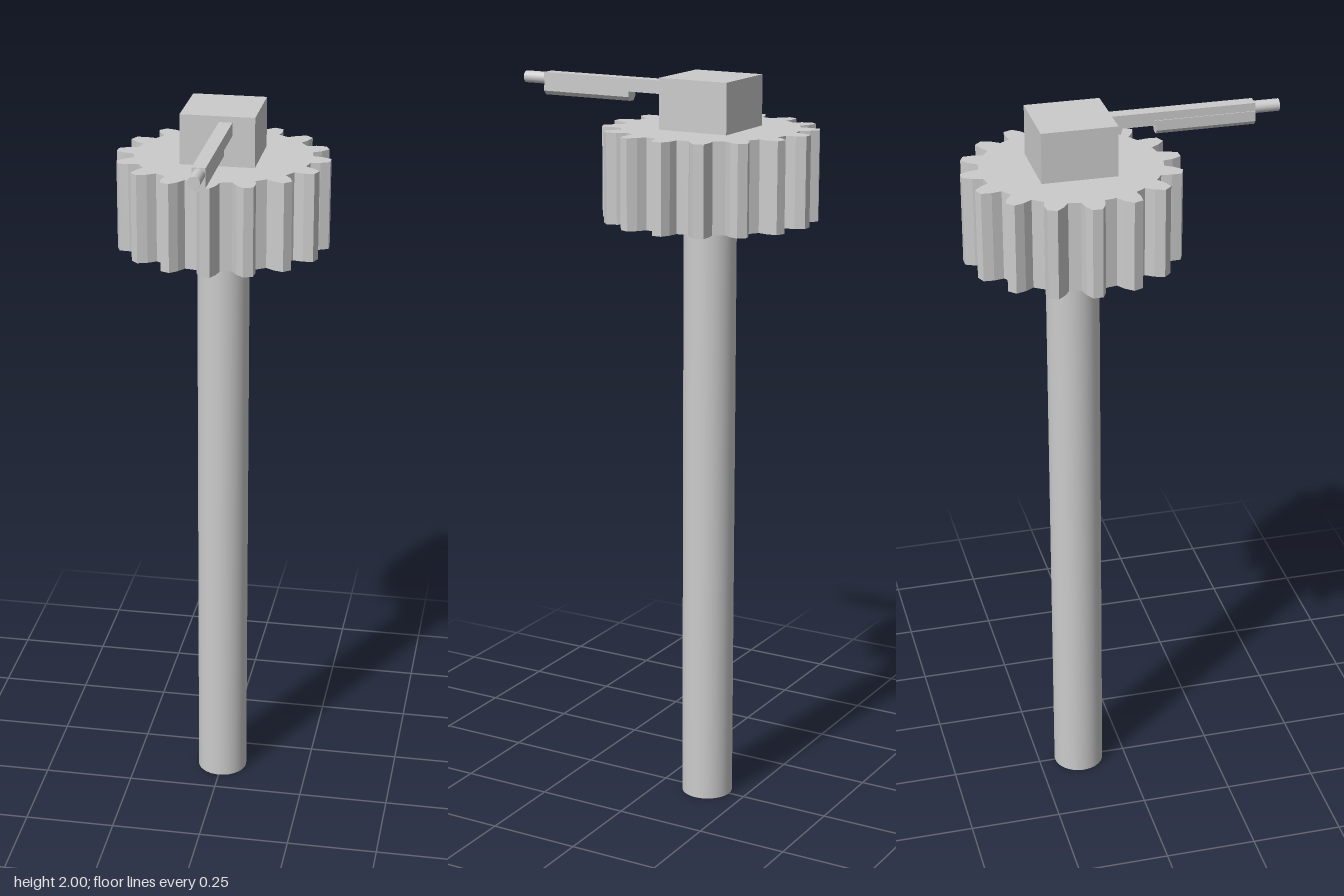
import * as THREE from 'three';

const AXIS_Z = -0.134;
const material = new THREE.MeshStandardMaterial({ color: 0xcccccc });

function add(parent, name, geometry, x = 0, y = 0, z = 0) {
  const mesh = new THREE.Mesh(geometry, material);
  mesh.name = name;
  mesh.position.set(x, y, z);
  parent.add(mesh);
  return mesh;
}

const box = (w, h, d) => new THREE.BoxGeometry(w, h, d);

// Outline of a spur gear: each tooth is a tapered profile of [radius, half width]
function gearShape(teeth) {
  const half = [[0.233, 0.03], [0.259, 0.025], [0.283, 0.013]];
  const profile = [
    ...half.map(([r, w]) => [r, -w]),
    ...half.slice().reverse().map(([r, w]) => [r, w]),
  ];
  const points = [];
  for (let i = 0; i < teeth; i++) {
    const a = (i / teeth) * Math.PI * 2;
    for (const [r, w] of profile) {
      points.push(new THREE.Vector2(r, w).rotateAround(new THREE.Vector2(), a));
    }
  }
  return new THREE.Shape(points);
}

// Hollow round shaft, with separate faces so that the rims stay sharp
function buildShaft() {
  const shaft = new THREE.Group();
  shaft.name = 'shaft';
  const outer = 0.07, bore = 0.029, height = 1.63;
  const rings = [
    ['shaftWall', [outer, 0], [outer, height]],
    ['shaftBore', [bore, height], [bore, 0]],
    ['shaftEnd', [bore, 0], [outer, 0]],
  ];
  for (const [name, a, b] of rings) {
    const points = [new THREE.Vector2(...a), new THREE.Vector2(...b)];
    add(shaft, name, new THREE.LatheGeometry(points, 40));
  }
  shaft.position.z = AXIS_Z;
  return shaft;
}

// Slim side arm with a round tip, a chamfered keel and a small peg
function buildArm() {
  const arm = new THREE.Group();
  arm.name = 'arm';
  add(arm, 'armBar', box(0.035, 0.035, 0.386), 0, 0, 0.158);

  const tip = add(arm, 'armTip', new THREE.CylinderGeometry(0.016, 0.016, 0.067, 20), 0, 0, 0.3835);
  tip.rotation.x = Math.PI / 2;

  const keel = new THREE.Shape([
    [-0.0175, -0.017], [-0.0175, -0.032], [-0.008, -0.043],
    [0.008, -0.043], [0.0175, -0.032], [0.0175, -0.017],
  ].map(([x, y]) => new THREE.Vector2(x, y)));
  add(arm, 'armKeel', new THREE.ExtrudeGeometry(keel, { depth: 0.262, bevelEnabled: false }), 0, 0, 0.09);

  add(arm, 'sideStrip', box(0.003, 0.012, 0.265), -0.0185, -0.01, 0.217);
  const peg = add(arm, 'peg', box(0.005, 0.026, 0.01), 0, -0.026, -0.001);
  peg.rotation.x = 0.25;

  arm.position.set(0.022, 1.967, 0);
  return arm;
}

export function createModel() {
  const model = new THREE.Group();
  model.name = 'gearShaft';

  model.add(buildShaft());

  // Toothed wheel lying flat on the shaft
  const wheel = new THREE.ExtrudeGeometry(gearShape(16), { depth: 0.238, bevelEnabled: false });
  wheel.rotateX(-Math.PI / 2);
  add(model, 'gearWheel', wheel, 0, 1.629, AXIS_Z);

  // Square head on top of the wheel
  add(model, 'headBlock', box(0.197, 0.135, 0.197), 0, 1.9325, AXIS_Z);

  model.add(buildArm());
  return model;
}
